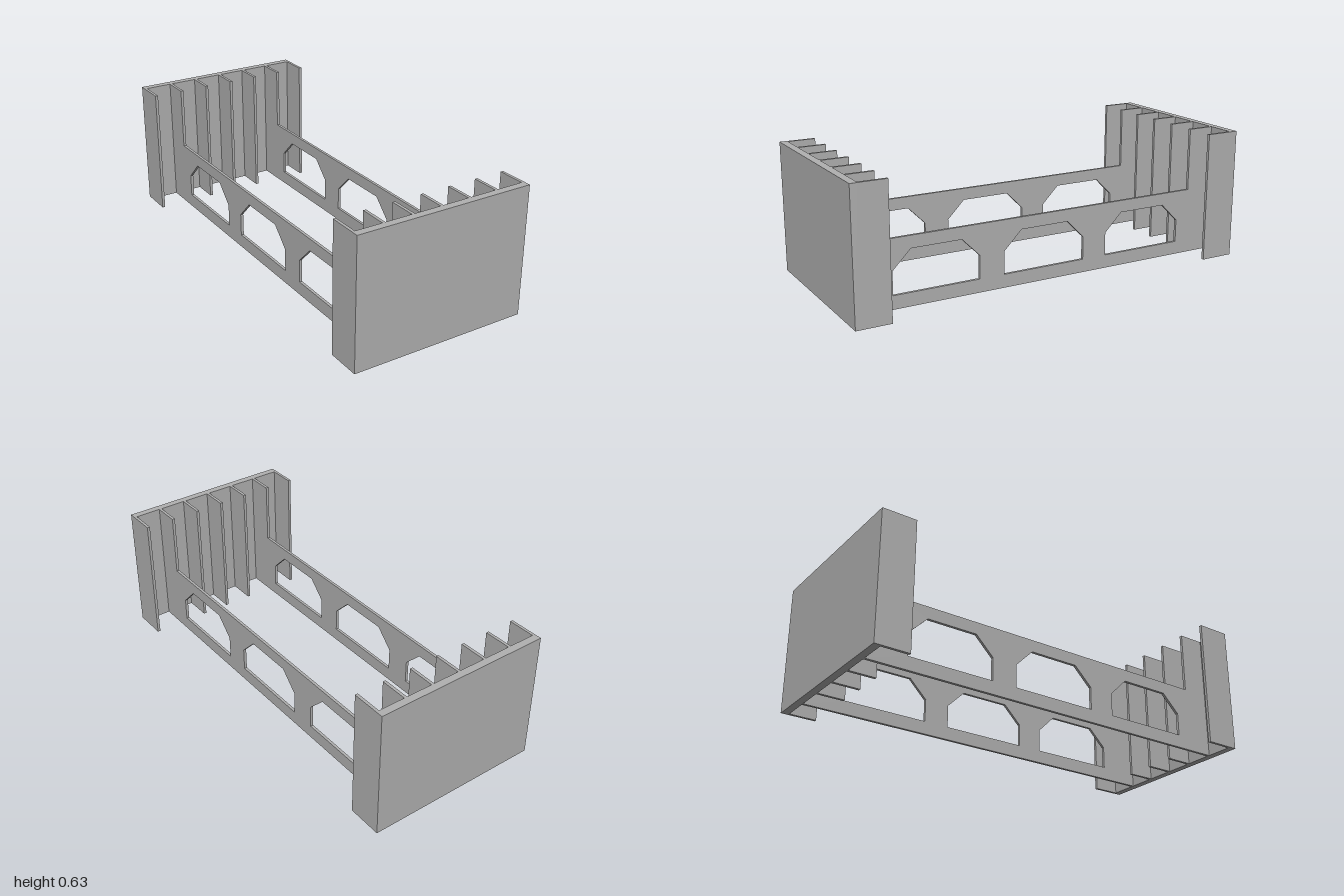
import * as THREE from 'three';

const WIDTH = 0.873, HEIGHT = 0.63, SHEET = 0.014;
const PLATE = 0.036, FIN_END = 0.832, PANEL_HEIGHT = 0.325;
const FIN_STEP = (WIDTH - SHEET) / 6;

export function createModel() {
  const model = new THREE.Group();
  model.name = 'finnedFrame';
  const grey = new THREE.MeshStandardMaterial({ color: 0xb0b0b0 });
  grey.name = 'plain grey';

  const add = (name, geometry, x, y, z) => {
    const mesh = new THREE.Mesh(geometry, grey);
    mesh.name = name;
    mesh.position.set(x, y, z);
    model.add(mesh);
  };

  // End plates with upright fins facing inwards
  const plate = new THREE.BoxGeometry(WIDTH, HEIGHT, PLATE);
  const finDepth = 1 - PLATE - FIN_END;
  const fin = new THREE.BoxGeometry(SHEET, HEIGHT, finDepth);
  for (const side of [1, -1]) {
    const end = side > 0 ? 'front' : 'back';
    add(end + 'Plate', plate, 0, HEIGHT / 2, side * (1 - PLATE / 2));
    for (let i = -3; i <= 3; i++) {
      if (Math.abs(i) === 2) continue; // these fins belong to the long side panels
      add(end + 'Fin', fin, i * FIN_STEP, HEIGHT / 2, side * (FIN_END + finDepth / 2));
    }
  }

  // Long side panels: one sheet with raised ends and three chamfered windows
  const points = (list) => list.map(([a, b]) => new THREE.Vector2(a, b));
  const e = 1 - PLATE;
  const outline = new THREE.Shape(points([
    [-e, 0], [e, 0], [e, HEIGHT], [FIN_END, HEIGHT], [FIN_END, PANEL_HEIGHT],
    [-FIN_END, PANEL_HEIGHT], [-FIN_END, HEIGHT], [-e, HEIGHT],
  ]));
  for (const c of [-0.553, 0, 0.553]) {
    outline.holes.push(new THREE.Path(points([
      [c - 0.213, 0.065], [c - 0.213, 0.177], [c - 0.124, 0.266],
      [c + 0.124, 0.266], [c + 0.213, 0.177], [c + 0.213, 0.065],
    ])));
  }
  const panel = new THREE.ExtrudeGeometry(outline, { depth: SHEET, bevelEnabled: false });
  panel.translate(0, 0, -SHEET / 2);
  panel.rotateY(Math.PI / 2);
  add('leftSidePanel', panel, 2 * FIN_STEP, 0, 0);
  add('rightSidePanel', panel, -2 * FIN_STEP, 0, 0);

  return model;
}
